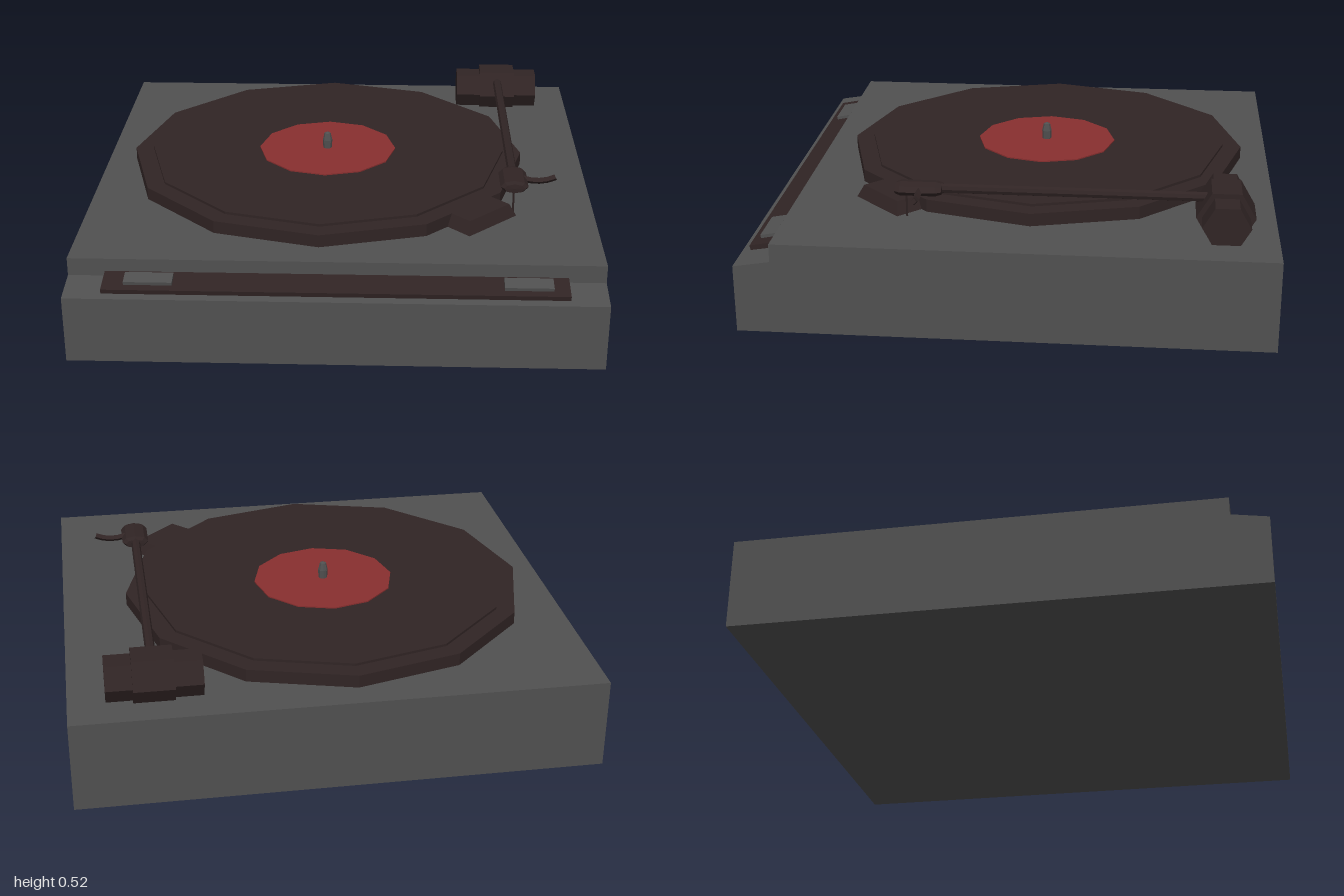
import * as THREE from 'three';

const material = (name, color) => {
  const m = new THREE.MeshStandardMaterial({ color, flatShading: true });
  m.name = name;
  return m;
};

export function createModel() {
  const model = new THREE.Group();
  model.name = 'turntable';
  const grey = material('charcoal grey', 0x505050);
  const dark = material('dark brown', 0x302424);
  const red = material('label red', 0x882f2f);

  const add = (name, geometry, mat, x = 0, y = 0, z = 0, parent = model) => {
    const mesh = new THREE.Mesh(geometry, mat);
    mesh.name = name;
    mesh.position.set(x, y, z);
    parent.add(mesh);
    return mesh;
  };

  // Plinth: side profile (z, y) with a low sloping ledge at the front
  const profile = new THREE.Shape([
    [-1, 0], [1, 0], [1, 0.262], [0.86, 0.285], [0.86, 0.355], [-1, 0.355],
  ].map(([z, y]) => new THREE.Vector2(z, y)));
  const plinth = new THREE.ExtrudeGeometry(profile, { depth: 2, bevelEnabled: false });
  plinth.translate(0, 0, -1).rotateY(-Math.PI / 2);
  add('plinth', plinth, grey);

  // Control strip and its two buttons lie on the ledge
  const controls = new THREE.Group();
  controls.name = 'controls';
  controls.position.set(0, 0.283, 0.915);
  controls.rotation.x = 0.19;
  model.add(controls);
  add('controlStrip', new THREE.BoxGeometry(1.72, 0.026, 0.11), dark, 0, 0, 0, controls);
  for (const x of [-0.69, 0.71]) {
    add('button', new THREE.BoxGeometry(0.18, 0.026, 0.06), grey, x, 0.013, -0.005, controls);
  }

  // Platter, record, label and spindle share one axis
  const cx = -0.07, cz = -0.075;
  add('platter', new THREE.CylinderGeometry(0.815, 0.815, 0.055, 12), dark, cx, 0.3775, cz);
  add('record', new THREE.CylinderGeometry(0.74, 0.74, 0.02, 12), dark, cx, 0.405, cz);
  add('label', new THREE.CylinderGeometry(0.286, 0.286, 0.009, 12), red, cx, 0.4155, cz);
  const spindle = [[0.018, 0.41], [0.02, 0.455], [0.013, 0.485], [0, 0.49]];
  add('spindle', new THREE.LatheGeometry(
    spindle.map(([r, y]) => new THREE.Vector2(r, y)), 8), grey, cx, 0, cz);

  // Tonearm pivot: two hexagonal drums on one axle
  const drum = (r, length) => new THREE.CylinderGeometry(r, r, length, 6).rotateZ(Math.PI / 2);
  add('pivotAxle', drum(0.09, 0.36), dark, 0.68, 0.42, -0.803);
  add('pivotCollar', drum(0.111, 0.155), dark, 0.683, 0.42, -0.803);

  // Tonearm with a flattened head
  add('tonearm', new THREE.CylinderGeometry(0.019, 0.019, 1.06, 8).rotateX(Math.PI / 2),
    dark, 0.683, 0.473, -0.23);
  const headProfile = [[0, 0.26], [0.75, 0.262], [1, 0.285], [1, 0.42], [0.75, 0.44], [0, 0.442]];
  const head = new THREE.LatheGeometry(
    headProfile.map(([r, y]) => new THREE.Vector2(r, y)), 8).rotateX(Math.PI / 2);
  head.scale(0.055, 0.025, 1);
  add('tonearmHead', head, dark, 0.683, 0.471, 0);
  add('stylus', new THREE.CylinderGeometry(0.004, 0.004, 0.1, 4), dark, 0.683, 0.405, 0.4);

  // Curved finger lift
  const lift = new THREE.QuadraticBezierCurve3(
    new THREE.Vector3(0.72, 0.475, 0.347),
    new THREE.Vector3(0.79, 0.452, 0.347),
    new THREE.Vector3(0.85, 0.482, 0.347));
  add('fingerLift', new THREE.TubeGeometry(lift, 4, 0.013, 4), dark);

  // Tapered block beside the platter edge
  const block = new THREE.BoxGeometry(0.27, 0.05, 0.13);
  const p = block.attributes.position;
  for (let i = 0; i < p.count; i++) {
    if (p.getY(i) > 0) {
      p.setX(i, p.getX(i) * 0.84);
      p.setZ(i, Math.min(p.getZ(i), 0.045));
    }
  }
  block.computeVertexNormals();
  add('strobeBlock', block, dark, 0.552, 0.38, 0.487).rotation.y = Math.PI / 4;

  return model;
}
